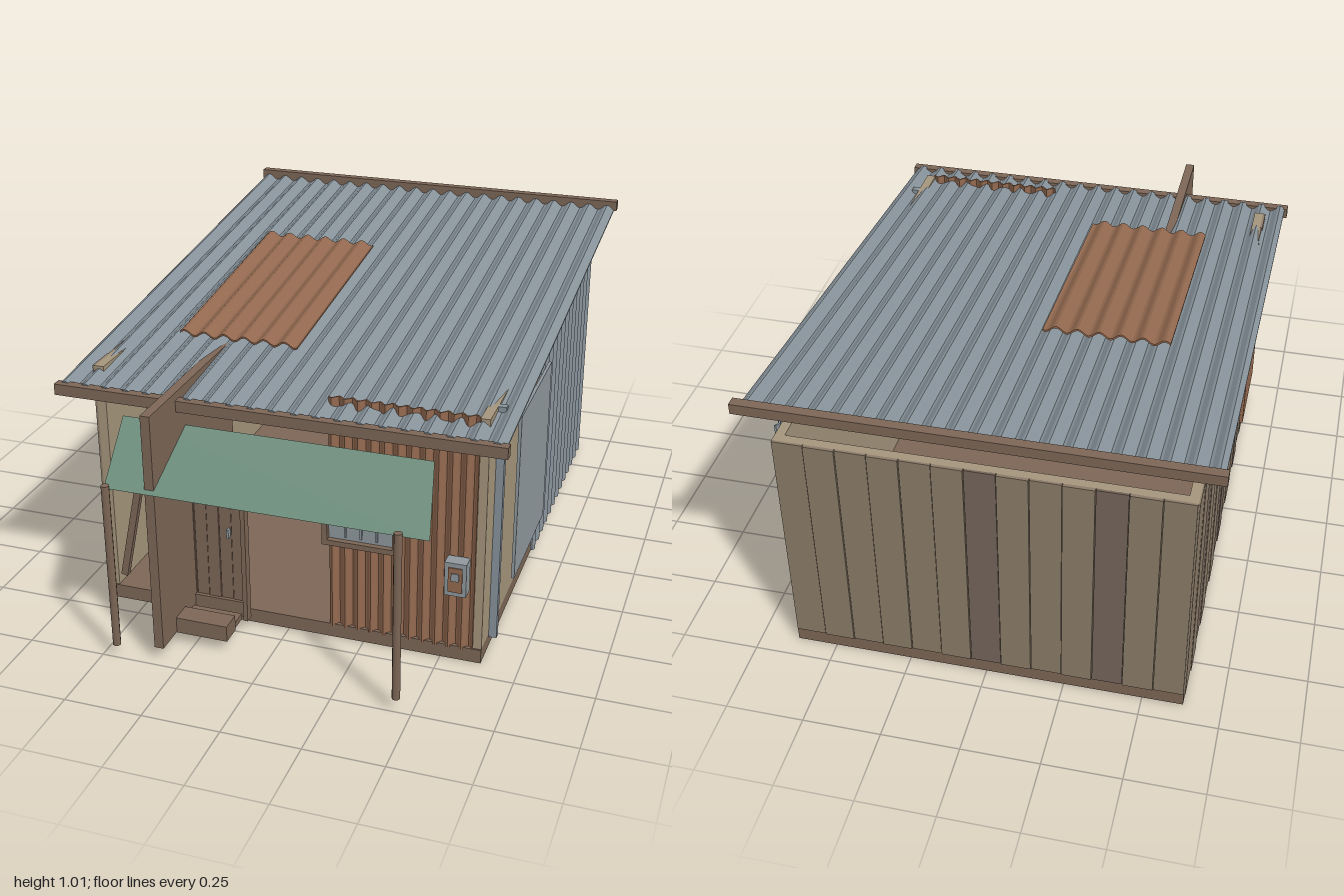
import * as THREE from 'three';

export function createModel() {
  const root = new THREE.Group();
  const paint = (name, color, side = THREE.FrontSide) => {
    const m = new THREE.MeshStandardMaterial({ color, side });
    m.name = name;
    return m;
  };
  const timber = paint('timber brown', 0x7c6656);
  const board = paint('inner board tan', 0xa5957c);
  const plank = paint('weathered plank', 0x8b7b69);
  const darkPlank = paint('dark plank', 0x75655a);
  const steel = paint('galvanised steel', 0x87929a);
  const sheet = paint('pale sheet metal', 0x8f989d);
  const rust = paint('rusty iron', 0x93694f);
  const canvas = paint('green awning', 0x6b8a7a, THREE.DoubleSide);

  const add = (name, geo, mat, x = 0, y = 0, z = 0, parent = root) => {
    const m = new THREE.Mesh(geo, mat);
    m.name = name;
    m.position.set(x, y, z);
    parent.add(m);
    return m;
  };
  // Box given by its minimum and maximum on each axis
  const box = (name, mat, x0, x1, y0, y1, z0, z1, parent = root) =>
    add(name, new THREE.BoxGeometry(x1 - x0, y1 - y0, z1 - z0), mat,
      (x0 + x1) / 2, (y0 + y1) / 2, (z0 + z1) / 2, parent);
  const group = (name) => {
    const g = new THREE.Group();
    g.name = name;
    root.add(g);
    return g;
  };
  // Corrugated sheet: wave across x, running along z, centred on the origin
  const corrugated = (width, length, period, amp, thick = 0.006) => {
    const n = Math.round((width / period) * 8);
    const wave = (i, dy) => new THREE.Vector2(
      -width / 2 + (width * i) / n, dy + amp * Math.sin((i / 8) * Math.PI * 2));
    const pts = [];
    for (let i = 0; i <= n; i++) pts.push(wave(i, -thick / 2));
    for (let i = n; i >= 0; i--) pts.push(wave(i, thick / 2));
    const g = new THREE.ExtrudeGeometry(new THREE.Shape(pts), { depth: length, bevelEnabled: false });
    return g.translate(0, 0, -length / 2);
  };

  // Floor and the three standing walls; the front is open
  box('floor', timber, -0.63, 0.63, 0, 0.047, -0.93, 0.68);
  box('backWall', board, -0.6, 0.6, 0.047, 0.83, -0.925, -0.895);
  for (const s of [-1, 1]) {
    const wall = box('sideWall', board, -0.015, 0.015, 0.047, 0.83, -0.925, 0.675);
    wall.position.x = s * 0.615;
  }
  box('partition', timber, -0.335, -0.305, 0.042, 0.832, 0.37, 0.97);

  // Plank cladding on the back and left sides
  const cladding = group('plankCladding');
  const nb = 13, nl = 16;
  for (let i = 0; i < nb; i++) {
    const w = 1.26 / nb, x = -0.63 + w * i;
    const dark = [2, 6].includes(i);
    box('backPlank', dark ? darkPlank : plank, x + 0.001, x + w - 0.001, 0.047, 0.83,
      -0.933 - (i % 2) * 0.003, -0.924, cladding);
  }
  for (let i = 0; i < nl; i++) {
    const w = 1.605 / nl, z = -0.93 + w * i;
    const dark = [2, 6, 7, 11].includes(i);
    box('leftPlank', dark ? darkPlank : plank, -0.635 - (i % 2) * 0.003, -0.628, 0.047, 0.83,
      z + 0.001, z + w - 0.001, cladding);
  }
  box('sidePatch', rust, -0.655, -0.643, 0.2, 0.455, 0.25, 0.56);

  // Metal cladding on the right side
  const sideMetal = corrugated(0.88, 0.79, 0.068, 0.008);
  sideMetal.rotateX(Math.PI / 2).rotateY(Math.PI / 2);
  add('sideCorrugatedSheet', sideMetal, steel, 0.644, 0.436, -0.42);
  box('sideMetalSheet', sheet, 0.656, 0.666, 0.15, 0.722, -0.05, 0.4);
  box('sideMetalStrip', steel, 0.63, 0.655, 0.035, 0.83, 0.558, 0.58);

  // Rusty corrugated front panel
  const frontMetal = corrugated(0.465, 0.795, 0.042, 0.008);
  frontMetal.rotateX(Math.PI / 2);
  add('frontCorrugatedSheet', frontMetal, rust, 0.37, 0.437, 0.672);

  // Sloping roof, its patch and the end beams
  const roof = add('roof', corrugated(1.4, 1.765, 0.068, 0.01), steel, 0, 0.889, -0.105);
  roof.rotation.x = Math.atan(0.103);
  const patch = add('roofPatch', corrugated(0.4, 0.79, 0.068, 0.009), rust, -0.255, 0.909, 0.027);
  patch.rotation.x = Math.atan(0.109);
  box('frontBeam', timber, -0.71, 0.71, 0.77, 0.806, 0.762, 0.793);
  box('backBeam', timber, -0.71, 0.71, 0.972, 1.006, -1, -0.968);

  // Plank door with jambs and handle
  const door = group('door');
  for (let i = 0; i < 6; i++) {
    const x = -0.385 + i * 0.0417;
    box('doorPlank', timber, x + 0.001, x + 0.0407, 0.04, 0.655, 0.69, 0.708 + (i % 2) * 0.002, door);
  }
  for (const x of [-0.402, -0.135]) box('doorJamb', timber, x, x + 0.015, 0.035, 0.68, 0.705, 0.735, door);
  box('doorHead', timber, -0.387, -0.135, 0.66, 0.68, 0.705, 0.73, door);
  box('doorRail', timber, -0.387, -0.135, 0.04, 0.092, 0.706, 0.72, door);
  box('doorHandle', sheet, -0.187, -0.18, 0.32, 0.35, 0.708, 0.725, door);

  // Front step
  box('stepBase', timber, -0.38, -0.14, 0.04, 0.06, 0.735, 0.8);
  box('step', timber, -0.385, -0.135, 0.04, 0.093, 0.8, 0.87);

  // Window: frame, pane and glazing bars
  const win = group('window');
  for (const x of [0.125, 0.35]) box('windowSide', timber, x, x + 0.017, 0.35, 0.59, 0.68, 0.712, win);
  for (const y of [0.35, 0.572]) box('windowRail', timber, 0.14, 0.352, y, y + 0.018, 0.68, 0.712, win);
  box('windowPane', sheet, 0.14, 0.352, 0.365, 0.575, 0.685, 0.694, win);
  for (const x of [0.197, 0.247, 0.297]) box('glazingBar', steel, x - 0.003, x + 0.003, 0.38, 0.56, 0.692, 0.702, win);
  box('glazingBar', steel, 0.152, 0.34, 0.464, 0.47, 0.692, 0.702, win);

  // Meter box
  const meter = group('meterBox');
  box('meterCase', sheet, 0.52, 0.588, 0.257, 0.37, 0.685, 0.73, meter);
  box('meterPanel', rust, 0.532, 0.576, 0.272, 0.355, 0.729, 0.734, meter);
  box('meterDial', sheet, 0.542, 0.566, 0.312, 0.338, 0.733, 0.738, meter);

  // Skewed single-sheet awning on two round posts
  const awning = new THREE.BufferGeometry();
  awning.setAttribute('position', new THREE.Float32BufferAttribute([
    -0.515, 0.7, 0.73, -0.46, 0.585, 0.987, 0.542, 0.585, 0.987, 0.482, 0.7, 0.73], 3));
  awning.setIndex([0, 1, 2, 0, 2, 3]);
  awning.computeVertexNormals();
  add('awning', awning, canvas);
  for (const x of [-0.455, 0.45])
    add('awningPost', new THREE.CylinderGeometry(0.013, 0.013, 0.555, 8), timber, x, 0.3175, 0.987);

  // Loose board leaning by the door
  const brace = add('leaningBoard', new THREE.BoxGeometry(0.023, 0.655, 0.02), timber, -0.494, 0.43, 0.7);
  brace.rotation.z = -Math.atan2(0.135, 0.64);

  return root;
}
